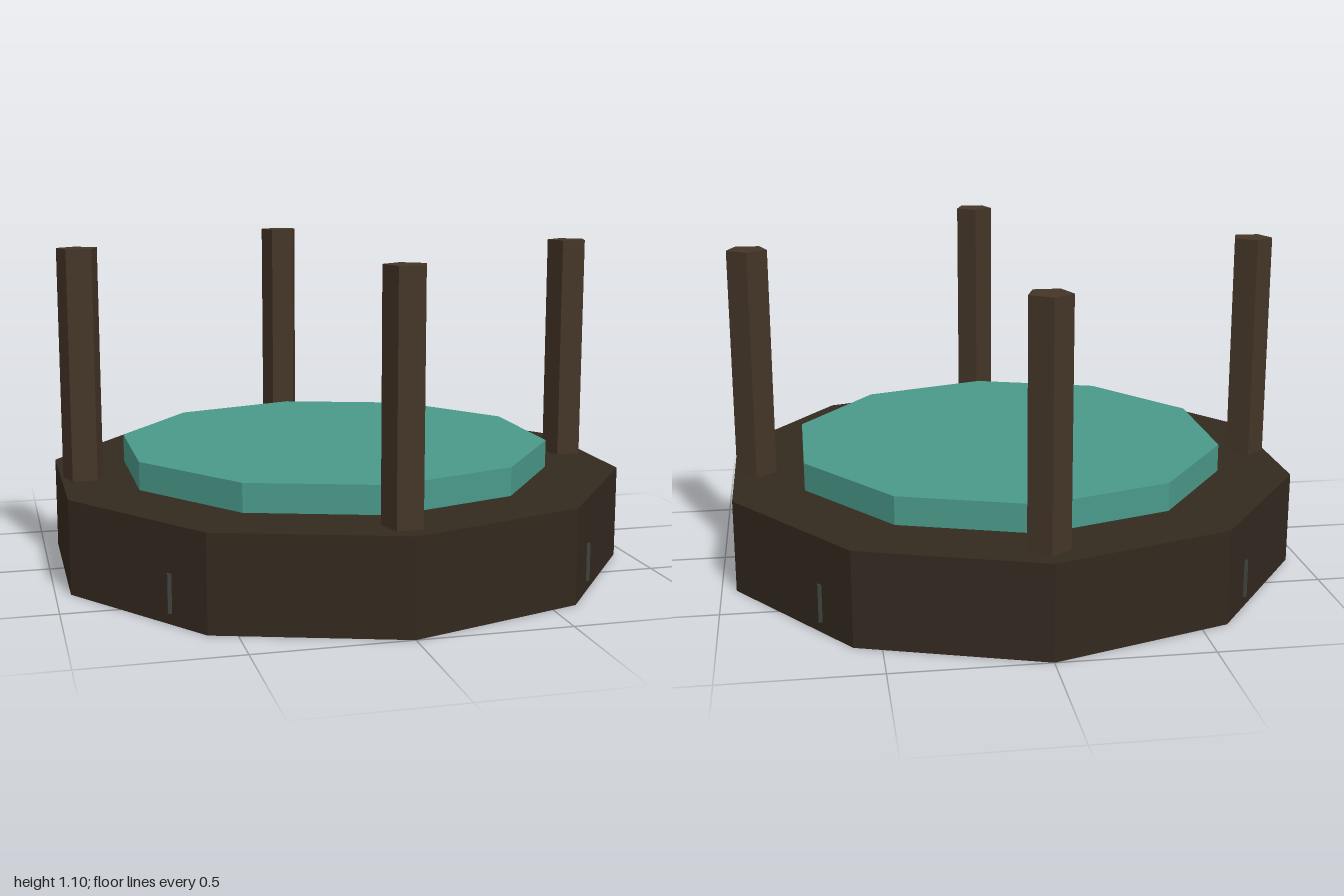
import * as THREE from 'three';

const material = (color) => new THREE.MeshStandardMaterial({ color, flatShading: true });

export function createModel() {
  const model = new THREE.Group();
  model.name = 'roundPlatform';
  const rimWood = material(0x33291f);
  const postWood = material(0x443527);
  const teal = material(0x4a9a8a);
  const frameGrey = material(0x3c403a);

  const add = (name, geometry, mat, x, y, z) => {
    const mesh = new THREE.Mesh(geometry, mat);
    mesh.name = name;
    mesh.position.set(x, y, z);
    model.add(mesh);
    return mesh;
  };

  // upright prism standing between two heights
  const prism = (name, radius, sides, bottom, top, mat, x = 0, z = 0) =>
    add(name, new THREE.CylinderGeometry(radius, radius, top - bottom, sides), mat, x, (bottom + top) / 2, z);

  // ten-sided base and raised surface
  prism('base', 1, 10, 0, 0.315, rimWood);
  prism('surface', 0.75, 10, 0.25, 0.41, teal);

  // inner square frame, whose corners just break through the sides of the base
  add('innerFrame', new THREE.BoxGeometry(1.376, 0.125, 1.376), frameGrey, 0, 0.098, 0);

  // four five-sided posts, all with a corner towards the back
  for (const [name, x, z] of [
    ['frontPost', 0, 0.875], ['backPost', 0, -0.875],
    ['leftPost', 0.875, 0], ['rightPost', -0.875, 0],
  ]) {
    prism(name, 0.071, 5, 0.25, 1.095, postWood, x, z).rotation.y = Math.PI;
  }

  return model;
}
